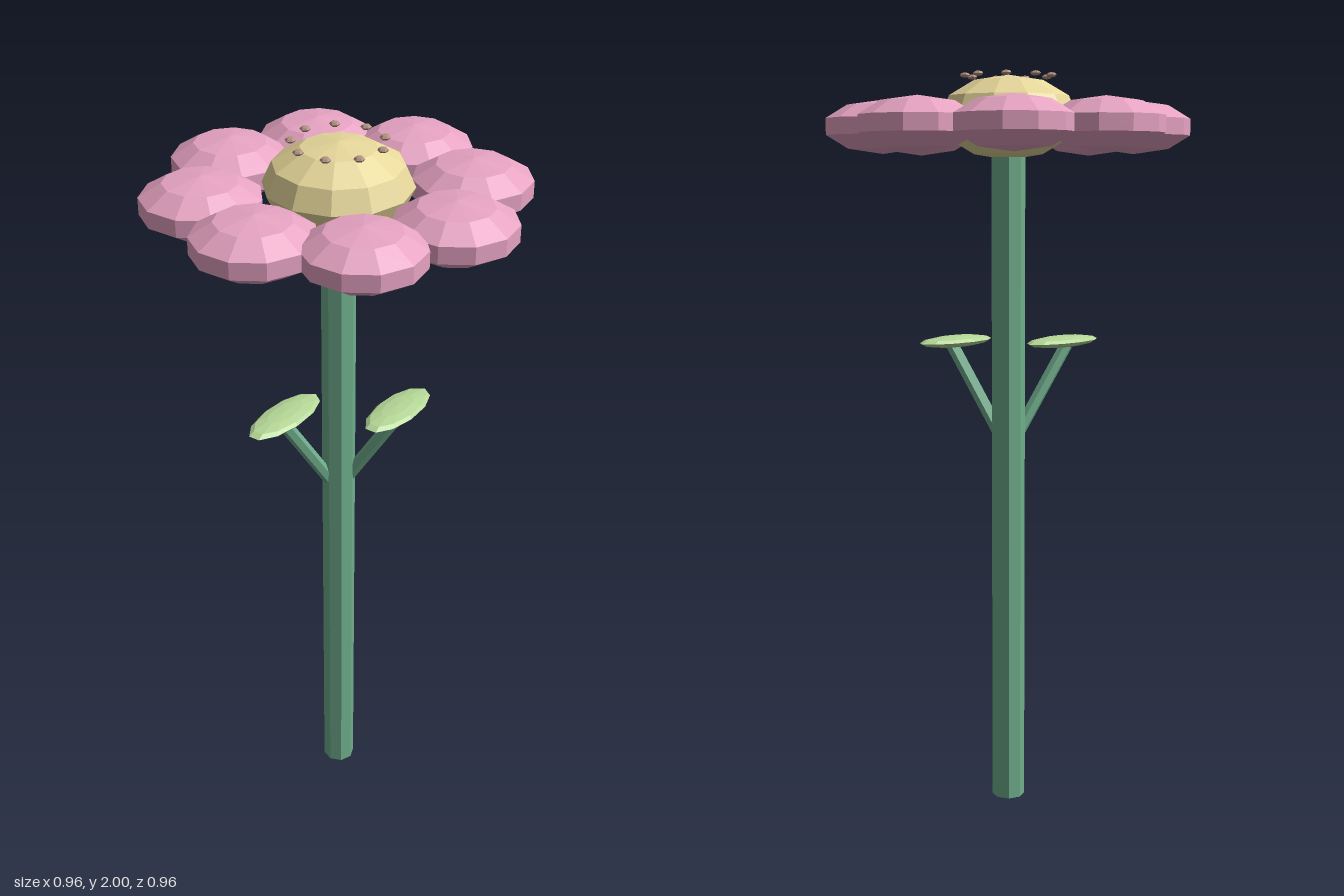
import * as THREE from 'three';

const paint = (color) => new THREE.MeshStandardMaterial({ color, flatShading: true });

export function createModel() {
  const flower = new THREE.Group();
  flower.name = 'flower';
  const green = paint(0x6fae8c);
  const leafGreen = paint(0xb4d696);
  const pink = paint(0xe6a3c2);
  const yellow = paint(0xe6d79a);
  const brown = paint(0xb09080);

  // Faceted ellipsoid; the half turn puts a corner on +x
  const ellipsoid = (name, material, radii, position, sides, rows) => {
    const geometry = new THREE.SphereGeometry(1, sides, rows).rotateY(Math.PI);
    geometry.scale(...radii);
    const mesh = new THREE.Mesh(geometry, material);
    mesh.name = name;
    mesh.position.set(...position);
    flower.add(mesh);
  };

  // Straight rod between two points
  const rod = (name, from, to, radius, sides) => {
    const a = new THREE.Vector3(...from);
    const dir = new THREE.Vector3(...to).sub(a);
    const geometry = new THREE.CylinderGeometry(radius, radius, dir.length(), sides);
    const mesh = new THREE.Mesh(geometry, green);
    mesh.name = name;
    mesh.position.copy(a).addScaledVector(dir, 0.5);
    mesh.quaternion.setFromUnitVectors(new THREE.Vector3(0, 1, 0), dir.normalize());
    flower.add(mesh);
  };

  // Stem
  rod('stem', [0, 0, 0], [0, 1.83, 0], 0.045, 8);

  // Two leaves on slanted stalks
  rod('rightLeafStalk', [-0.01, 1.01, -0.005], [-0.165, 1.275, -0.065], 0.018, 6);
  ellipsoid('rightLeaf', leafGreen, [0.135, 0.016, 0.055], [-0.155, 1.285, -0.06], 11, 6);
  rod('frontLeafStalk', [0.01, 1.02, 0.01], [0.05, 1.275, 0.165], 0.018, 6);
  ellipsoid('frontLeaf', leafGreen, [0.13, 0.016, 0.055], [0.04, 1.285, 0.16], 11, 6);

  // Flower centre
  ellipsoid('flowerCentre', yellow, [0.187, 0.11, 0.187], [0, 1.885, 0], 12, 6);

  // Eight petals in a ring, all facing the same way
  for (let i = 0; i < 8; i++) {
    const a = (i * Math.PI) / 4;
    const position = [0.332 * Math.cos(a), 1.86, 0.332 * Math.sin(a)];
    ellipsoid('petal', pink, [0.158, 0.07, 0.158], position, 11, 5);
  }

  // Nine small seeds
  for (let i = 0; i < 9; i++) {
    const a = (i * Math.PI * 2) / 9;
    const position = [0.115 * Math.cos(a), 1.993, 0.115 * Math.sin(a)];
    ellipsoid('seed', brown, [0.014, 0.007, 0.014], position, 6, 4);
  }

  return flower;
}
